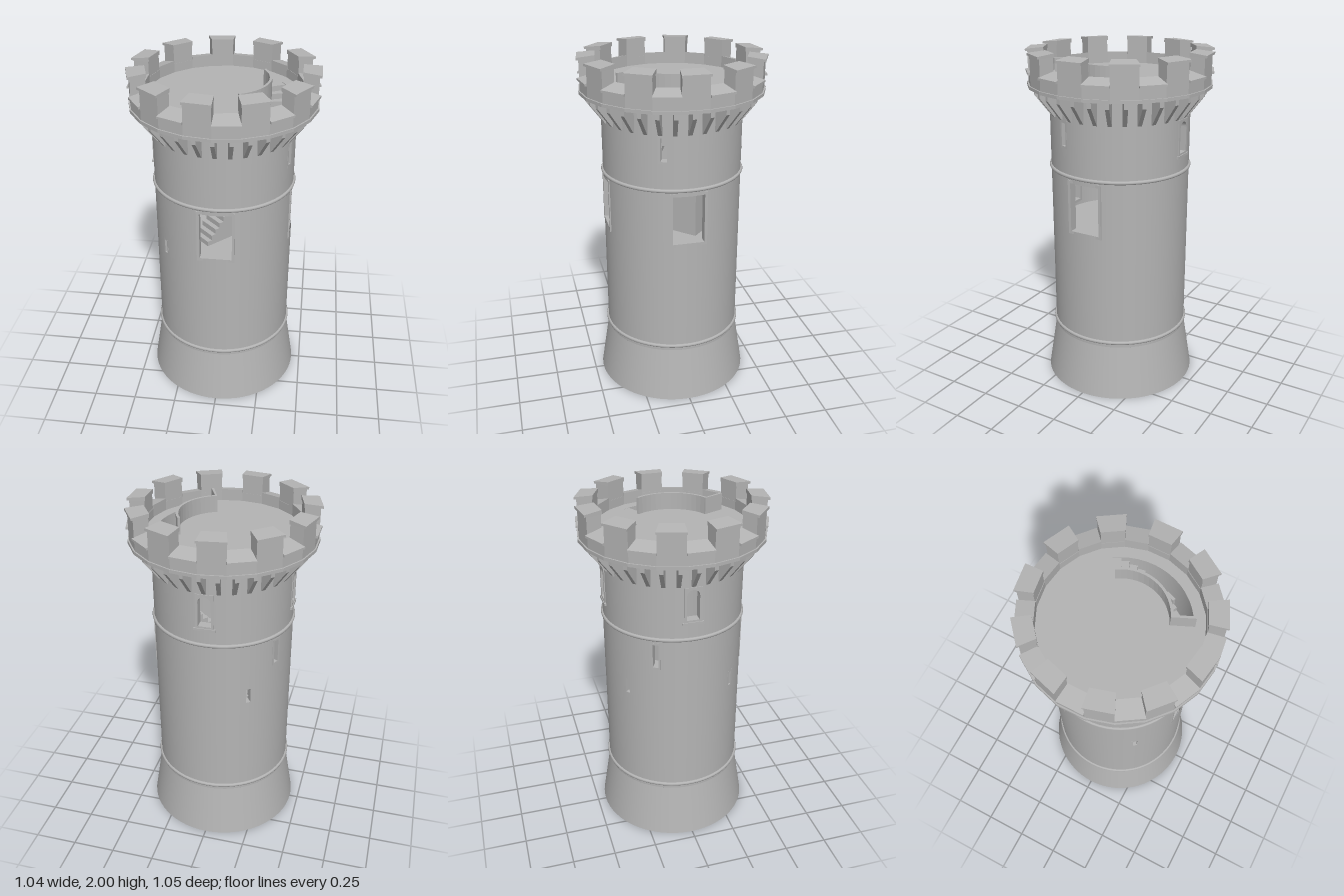
import * as THREE from 'three';

export function createModel() {
  const tower = new THREE.Group();
  tower.name = 'tower';
  const stone = new THREE.MeshStandardMaterial({ color: 0xb4b4b4, side: THREE.DoubleSide });
  stone.name = 'stone';
  const TAU = Math.PI * 2, deg = Math.PI / 180;

  const group = (name, parent = tower) => {
    const g = new THREE.Group();
    g.name = name;
    parent.add(g);
    return g;
  };
  const add = (geometry, name, parent = tower, y = 0) => {
    const m = new THREE.Mesh(geometry, stone);
    m.name = name;
    m.position.y = y;
    parent.add(m);
    return m;
  };

  // Block bent around the tower axis; its top may slope from yIn to yOut
  const sector = (a0, a1, rIn, rOut, y0, yIn, yOut) => {
    const g = new THREE.BoxGeometry(1, 1, 1);
    const p = g.attributes.position;
    for (let i = 0; i < p.count; i++) {
      const a = p.getX(i) < 0 ? a0 : a1, outer = p.getZ(i) > 0;
      const r = outer ? rOut : rIn;
      const y = p.getY(i) < 0 ? y0 : outer ? yOut : yIn;
      p.setXYZ(i, r * Math.sin(a), y, r * Math.cos(a));
    }
    const flat = g.toNonIndexed();
    flat.computeVertexNormals();
    return flat;
  };

  // Openings in order of angle: w is half the clear width
  const openings = [
    { name: 'largeWindow', a: 0, w: 0.09, y0: 1.015, y1: 1.3, border: 0.016, front: 0.393 },
    { name: 'arrowSlit', a: 70, w: 0.017, y0: 1.5, y1: 1.63, border: 0.012, front: 0.4 },
    { name: 'largeWindow', a: 90, w: 0.09, y0: 1.015, y1: 1.3, border: 0.016, front: 0.393 },
    { name: 'archedWindow', a: 180, w: 0.036, y0: 1.45, y1: 1.625, border: 0.014, front: 0.402, arch: true },
    { name: 'arrowSlit', a: 215, w: 0.013, y0: 0.95, y1: 1.04, border: 0.01, front: 0.399 },
    { name: 'arrowSlit', a: 241, w: 0.016, y0: 1.16, y1: 1.3, border: 0.012, front: 0.401 },
    { name: 'archedWindow', a: 270, w: 0.036, y0: 1.45, y1: 1.625, border: 0.014, front: 0.402, arch: true },
    { name: 'arrowSlit', a: 310, w: 0.012, y0: 0.945, y1: 1.03, border: 0.01, front: 0.4 },
  ];

  // Round wall built of curved panels around the openings
  const roundWall = (name, r, bottom, top) => {
    const wall = group(name);
    const panel = (a0, a1, y0, y1) => {
      if (y1 - y0 < 0.001) return;
      const n = Math.max(1, Math.ceil((a1 - a0) / (TAU / 64)));
      add(new THREE.CylinderGeometry(r, r, y1 - y0, n, 1, true, a0, a1 - a0), 'wallPanel', wall, (y0 + y1) / 2);
    };
    openings.forEach((o, i) => {
      const half = Math.asin((o.w + 0.003) / r), a = o.a * deg;
      const next = openings[(i + 1) % openings.length];
      const nextA = next.a * deg + (i === openings.length - 1 ? TAU : 0);
      panel(a - half, a + half, bottom, Math.max(bottom, o.y0));
      panel(a - half, a + half, o.y1, top);
      panel(a + half, nextA - Math.asin((next.w + 0.003) / r), bottom, top);
    });
  };
  roundWall('outerWall', 0.4, 0.32, 1.8);
  roundWall('innerWall', 0.37, 0.93, 1.84);

  // Window and slit frames
  for (const o of openings) {
    const b = o.border, W = o.w + b;
    const s = new THREE.Shape();
    s.moveTo(-W, o.y0 - b).lineTo(W, o.y0 - b).lineTo(W, o.y1 + b).lineTo(-W, o.y1 + b).closePath();
    const h = new THREE.Path();
    h.moveTo(-o.w, o.y0).lineTo(o.w, o.y0);
    if (o.arch) h.lineTo(o.w, o.y1 - o.w).absarc(0, o.y1 - o.w, o.w, 0, Math.PI, false);
    else h.lineTo(o.w, o.y1).lineTo(-o.w, o.y1);
    h.closePath();
    s.holes.push(h);
    const g = new THREE.ExtrudeGeometry(s, { depth: 0.05, bevelEnabled: false, curveSegments: 8 });
    const frame = group(o.name);
    frame.rotation.y = o.a * deg;
    add(g, 'frame', frame).position.z = o.front - 0.05;
    if (o.arch) {
      add(new THREE.BoxGeometry(0.12, 0.014, 0.03), 'windowSill', frame).position.set(0, o.y0 - 0.018, 0.392);
    }
  }

  // Flared open base and the two string courses
  add(new THREE.CylinderGeometry(0.4, 0.45, 0.32, 64, 1, true), 'flaredBase', tower, 0.16);
  for (const y of [0.35, 1.335]) {
    const ring = new THREE.TorusGeometry(0.4, 0.011, 8, 64);
    ring.rotateX(Math.PI / 2);
    add(ring, 'stringCourse', tower, y);
  }

  // Corbels under the parapet
  const corbelShape = new THREE.Shape();
  corbelShape.moveTo(0.385, 1.645).lineTo(0.405, 1.645).lineTo(0.488, 1.755).lineTo(0.488, 1.8).lineTo(0.385, 1.8).closePath();
  const corbel = new THREE.ExtrudeGeometry(corbelShape, { depth: 0.022, bevelEnabled: false });
  corbel.translate(0, 0, -0.011);
  corbel.rotateY(-Math.PI / 2);
  const corbels = group('corbels');
  for (let i = 0; i < 32; i++) add(corbel, 'corbel', corbels).rotation.y = (i / 32) * TAU;
  add(new THREE.CylinderGeometry(0.512, 0.4, 0.03, 44, 1, true), 'soffit', tower, 1.782);

  // Battlements: 22 facets, merlons alternating with sloped sills
  const parapet = group('parapet'), step = TAU / 22;
  for (let k = 0; k < 22; k++) {
    const a0 = k * step, a1 = a0 + step;
    add(sector(a0, a1, 0.43, 0.522, 1.792, 1.81, 1.81), 'ledge', parapet);
    add(sector(a0, a1, 0.427, 0.514, 1.81, 1.89, 1.872), 'parapetWall', parapet);
    if (k % 2) {
      add(sector(a0, a1, 0.43, 0.514, 1.87, 1.988, 1.978), 'merlon', parapet);
      add(sector(a0 - 0.006, a1 + 0.006, 0.425, 0.527, 1.977, 2, 1.99), 'merlonCap', parapet);
    } else {
      add(sector(a0, a1, 0.427, 0.527, 1.87, 1.907, 1.882), 'sill', parapet);
    }
  }

  // Roof deck with the curved stair opening
  const from = 26 * deg, to = 124 * deg, n = 14;
  const at = (r, a) => new THREE.Vector2(r * Math.sin(a), -r * Math.cos(a));
  const ring = (r, count) => Array.from({ length: count }, (_, i) => at(r, (i / count) * TAU));
  const arc = (r) => Array.from({ length: n + 1 }, (_, i) => at(r, from + (to - from) * i / n));
  const deckShape = new THREE.Shape(ring(0.43, 22));
  deckShape.holes.push(new THREE.Path([...arc(0.25), ...arc(0.365).reverse()]));
  const deck = new THREE.ShapeGeometry(deckShape);
  deck.rotateX(-Math.PI / 2);
  add(deck, 'roofDeck', tower, 1.84);

  // Winding stair up to the deck with its guard wall
  const winding = group('windingStair');
  const da = (to - from) / n;
  for (let i = 0; i < n; i++) {
    const a = from + i * da, y = 1.84 - (n - 1 - i) * 0.031;
    add(sector(a, a + da, 0.25, 0.362, y - 0.045, y, y), 'step', winding);
    add(sector(a, a + da, 0.244, 0.258, 1.8, 1.935, 1.935), 'guardWall', winding);
  }
  add(sector(from - 0.04, from, 0.244, 0.37, 1.8, 1.935, 1.935), 'guardWallEnd', winding);

  // Inner floor and straight stair
  const floor = new THREE.CircleGeometry(0.37, 48);
  floor.rotateX(-Math.PI / 2);
  add(floor, 'innerFloor', tower, 0.97);
  const flight = group('straightStair');
  for (let i = 0; i < 14; i++) {
    const y = 1.0 + i * 0.031;
    const tread = add(new THREE.BoxGeometry(0.03, y - 0.97, 0.13), 'step', flight, (y + 0.97) / 2);
    tread.position.x = (y - 1.16) / 1.5;
    tread.position.z = -(y - 1.22) / 1.5;
    tread.rotation.y = Math.PI / 4;
  }
  return tower;
}
